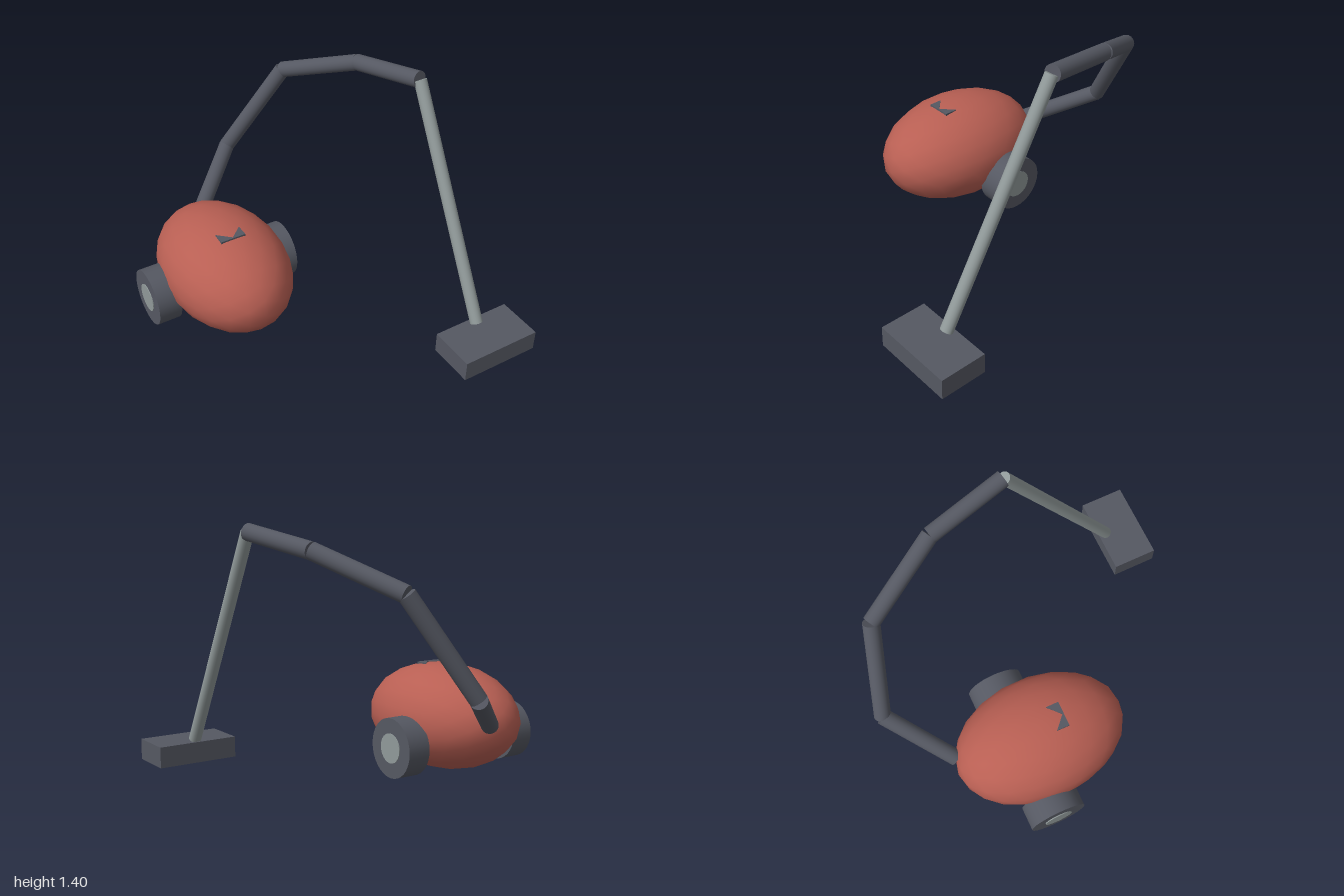
import * as THREE from 'three';

export function createModel() {
  const model = new THREE.Group();
  model.name = 'vacuumCleaner';

  const mat = (name, color) => {
    const m = new THREE.MeshStandardMaterial({ color });
    m.name = name;
    return m;
  };
  const red = mat('red', 0xb85f53);
  const dark = mat('darkGrey', 0x555862);
  const grey = mat('lightGrey', 0x909999);

  const add = (name, geometry, material, x = 0, y = 0, z = 0) => {
    const mesh = new THREE.Mesh(geometry, material);
    mesh.name = name;
    mesh.position.set(x, y, z);
    model.add(mesh);
    return mesh;
  };

  // Straight capped tube between two points
  const rod = (name, a, b, radius, material) => {
    const dir = b.clone().sub(a);
    const mesh = add(name, new THREE.CylinderGeometry(radius, radius, dir.length(), 20), material);
    mesh.position.copy(a).addScaledVector(dir, 0.5);
    mesh.quaternion.setFromUnitVectors(new THREE.Vector3(0, 1, 0), dir.normalize());
  };

  // Egg-shaped canister
  const bodyX = -0.437, bodyZ = -0.2;
  const body = new THREE.IcosahedronGeometry(1, 3);
  body.scale(0.354, 0.298, 0.508);
  add('body', body, red, bodyX, 0.317, bodyZ);

  // Notched switch on top of the canister
  const notch = new THREE.Shape([
    [-0.073, -0.07], [-0.073, -0.146], [0.073, -0.146], [0.073, -0.07], [0, -0.138],
  ].map(([x, y]) => new THREE.Vector2(x, y)));
  const plate = new THREE.ExtrudeGeometry(notch, { depth: 0.03, bevelEnabled: false });
  plate.rotateX(-Math.PI / 2);
  add('topSwitch', plate, dark, bodyX, 0.577, bodyZ);

  // Wheels with a hub running through each
  for (const side of [-1, 1]) {
    const label = side > 0 ? 'left' : 'right';
    const x = bodyX + side * 0.375;
    const wheel = new THREE.CylinderGeometry(0.165, 0.165, 0.135, 32).rotateZ(Math.PI / 2);
    const hub = new THREE.CylinderGeometry(0.082, 0.082, 0.145, 24).rotateZ(Math.PI / 2);
    add(label + 'Wheel', wheel, dark, x, 0.198, -0.29);
    add(label + 'Hub', hub, grey, x, 0.198, -0.29);
  }

  // Hose made of straight segments
  const hose = [
    [-0.35, 0.35, -0.68], [-0.015, 0.565, -0.96], [0.31, 1.08, -0.81],
    [0.545, 1.272, -0.36], [0.64, 1.355, 0.1],
  ].map((p) => new THREE.Vector3(...p));
  for (let i = 0; i < hose.length - 1; i++) {
    rod('hoseSegment' + (i + 1), hose[i], hose[i + 1], 0.047, dark);
  }

  // Wand and floor nozzle
  rod('wand', new THREE.Vector3(0.64, 1.355, 0.105), new THREE.Vector3(0.64, 0.132, 0.775), 0.036, grey);
  add('floorNozzle', new THREE.BoxGeometry(0.48, 0.122, 0.27), dark, 0.64, 0.061, 0.865);

  return model;
}
